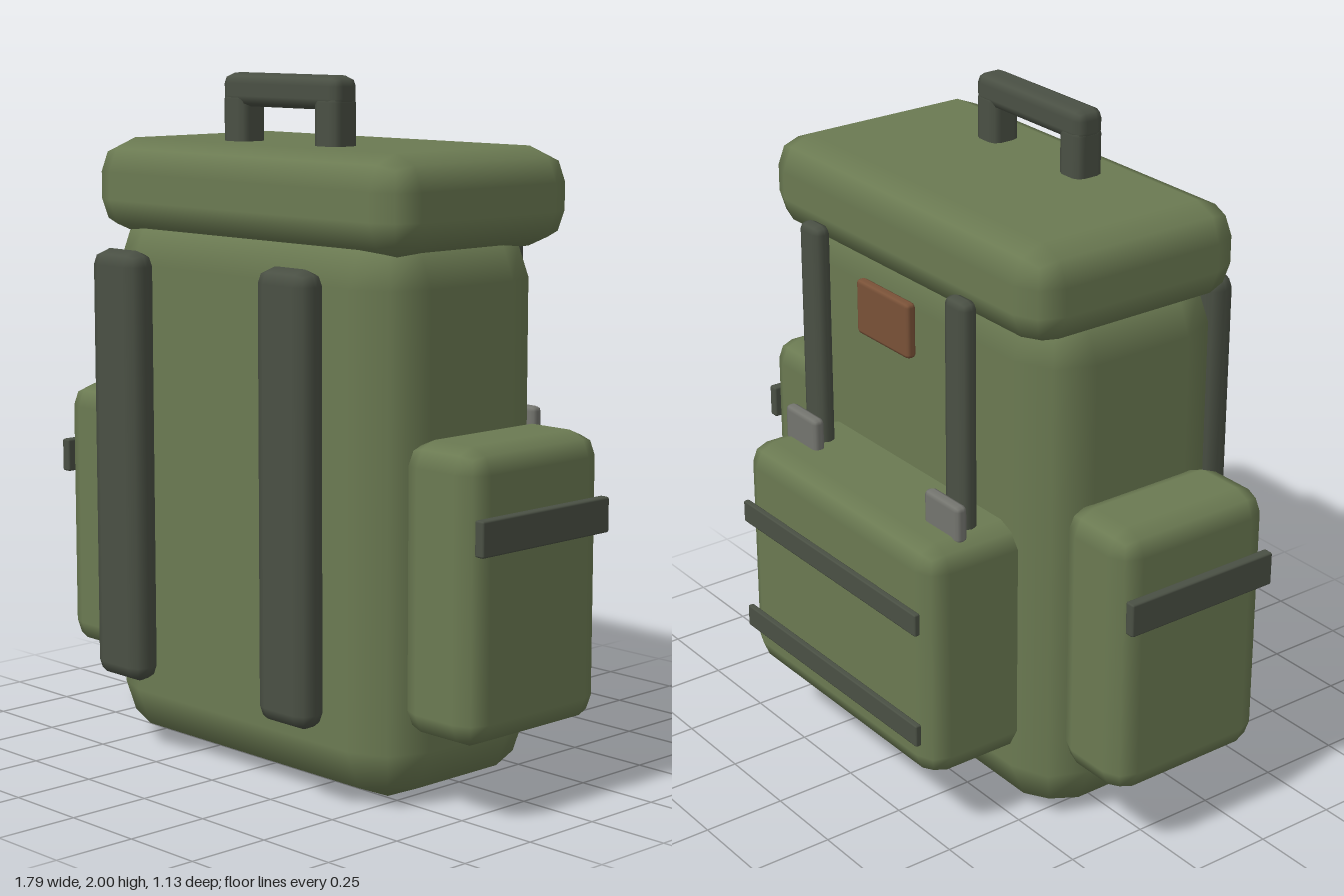
import * as THREE from 'three';

const mat = (name, color) => {
  const m = new THREE.MeshStandardMaterial({ color });
  m.name = name;
  return m;
};

// Box between two corners whose edges carry a smooth two-step bevel of radius r
function bevelBox([x0, y0, z0], [x1, y1, z1], r) {
  const g = new THREE.BoxGeometry(1, 1, 1, 3, 3, 3);
  const p = g.attributes.position, n = g.attributes.normal;
  const inner = new THREE.Vector3(x1 - x0, y1 - y0, z1 - z0).multiplyScalar(0.5).subScalar(r);
  const d = new THREE.Vector3(), v = new THREE.Vector3();
  const outer = (c) => (Math.abs(c) > 0.4 ? Math.sign(c) : 0);
  for (let i = 0; i < p.count; i++) {
    v.fromBufferAttribute(p, i);
    d.set(outer(v.x), outer(v.y), outer(v.z)).normalize();
    v.set(Math.sign(v.x), Math.sign(v.y), Math.sign(v.z)).multiply(inner).addScaledVector(d, r);
    p.setXYZ(i, v.x, v.y, v.z);
    n.setXYZ(i, d.x, d.y, d.z);
  }
  g.translate((x0 + x1) / 2, (y0 + y1) / 2, (z0 + z1) / 2);
  return g;
}

export function createModel() {
  const group = new THREE.Group();
  group.name = 'backpack';
  const canvas = mat('green canvas', 0x6b7a52);
  const webbing = mat('dark webbing', 0x4a5044);
  const metal = mat('grey metal', 0x74756f);
  const leather = mat('brown leather', 0x7a5238);

  const add = (name, material, lo, hi, r) => {
    const mesh = new THREE.Mesh(bevelBox(lo, hi, r), material);
    mesh.name = name;
    group.add(mesh);
  };
  // Same part on the left (+x) and right (-x)
  const addPair = (name, material, lo, hi, r) => {
    add(name + 'Left', material, lo, hi, r);
    add(name + 'Right', material, [-hi[0], lo[1], lo[2]], [-lo[0], hi[1], hi[2]], r);
  };

  // Main bag and lid
  add('body', canvas, [-0.613, 0, -0.243], [0.613, 1.6, 0.4], 0.16);
  add('lid', canvas, [-0.645, 1.525, -0.318], [0.645, 1.805, 0.41], 0.1);

  // Carry handle
  add('handleBar', webbing, [-0.24, 1.905, 0.145], [0.24, 2, 0.24], 0.03);
  addPair('handlePost', webbing, [0.143, 1.75, 0.145], [0.238, 1.95, 0.24], 0.025);

  // Shoulder straps
  addPair('shoulderStrap', webbing, [0.252, 0.24, 0.468], [0.455, 1.5, 0.565], 0.045);

  // Side pockets with their bands
  addPair('sidePocket', canvas, [0.588, 0.225, -0.187], [0.866, 1.043, 0.34], 0.07);
  addPair('sidePocketBand', webbing, [0.863, 0.762, -0.175], [0.895, 0.862, 0.33], 0.006);

  // Back pocket with two bands
  add('backPocket', canvas, [-0.47, 0.212, -0.54], [0.47, 0.94, -0.14], 0.07);
  for (const y of [0.335, 0.69]) {
    add('backPocketBand', webbing, [-0.437, y, -0.567], [0.437, y + 0.068, -0.548], 0.005);
  }

  // Lid straps and buckles
  addPair('lidStrap', webbing, [0.3, 0.88, -0.37], [0.4, 1.615, -0.315], 0.025);
  addPair('buckle', metal, [0.27, 0.92, -0.415], [0.43, 1.035, -0.377], 0.015);

  // Blank patch
  add('patch', leather, [-0.125, 1.355, -0.358], [0.125, 1.52, -0.326], 0.012);

  return group;
}
